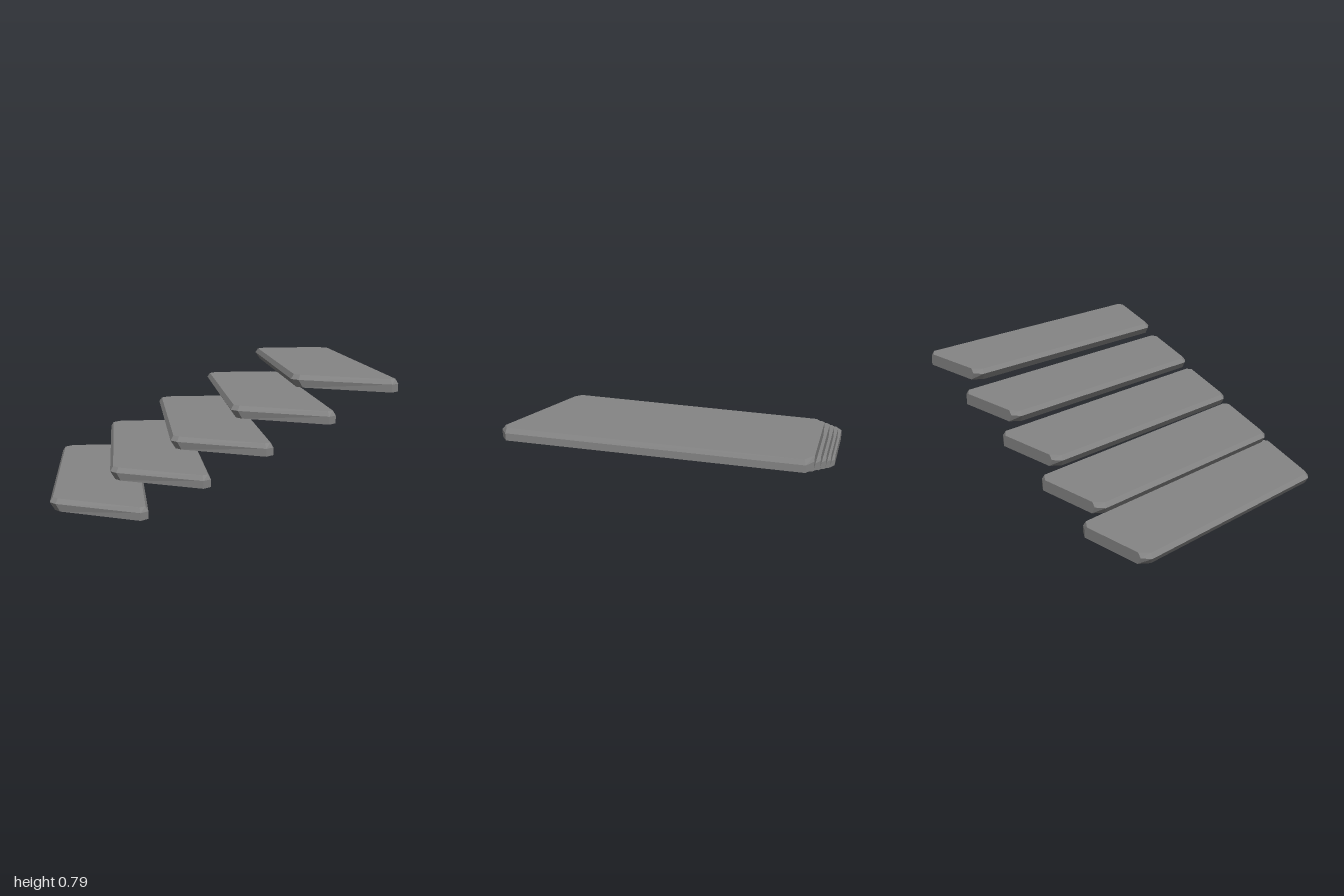
import * as THREE from 'three';

// Slab cross-sections from bottom to top; [x, z] corners run clockwise seen from above
const SECTIONS = [
  { y: 0, ring: [[-0.256, -0.83], [-0.21, -0.888], [0.21, -0.888], [0.264, -0.85], [0.286, 0.85], [0.24, 0.888], [-0.225, 0.65], [-0.256, 0.61]] },
  { y: 0.045, ring: [[-0.286, -0.85], [-0.236, -0.888], [0.21, -0.888], [0.264, -0.85], [0.286, 0.85], [0.24, 0.888], [-0.25, 0.645], [-0.286, 0.6]] },
  { y: 0.073, ring: [[-0.268, -0.84], [-0.215, -0.888], [0.19, -0.888], [0.25, -0.84], [0.27, 0.845], [0.235, 0.865], [-0.238, 0.625], [-0.268, 0.59]] },
];

// Flat-shaded solid lofted through the sections and capped at both ends
function loft(sections) {
  const rings = sections.map(({ y, ring }) => ring.map(([x, z]) => [x, y, z]));
  const count = rings[0].length;
  const top = rings[rings.length - 1];
  const bottom = rings[0];
  const positions = [];
  const tri = (a, b, c) => positions.push(...a, ...b, ...c);

  for (let r = 0; r < rings.length - 1; r++) {
    const low = rings[r], high = rings[r + 1];
    for (let i = 0; i < count; i++) {
      const j = (i + 1) % count;
      tri(low[j], low[i], high[i]);
      tri(low[j], high[i], high[j]);
    }
  }
  for (let i = 1; i < count - 1; i++) {
    tri(top[0], top[i + 1], top[i]);
    tri(bottom[0], bottom[i], bottom[i + 1]);
  }

  const geometry = new THREE.BufferGeometry();
  geometry.setAttribute('position', new THREE.Float32BufferAttribute(positions, 3));
  geometry.computeVertexNormals();
  return geometry;
}

export function createModel() {
  const model = new THREE.Group();
  model.name = 'steppedSlabs';
  const material = new THREE.MeshStandardMaterial({ color: 0x858585, flatShading: true });
  const geometry = loft(SECTIONS);

  // Five identical slabs climbing towards +x
  for (let i = 0; i < 5; i++) {
    const slab = new THREE.Mesh(geometry, material);
    slab.name = `stepSlab${i + 1}`;
    slab.position.set((i - 2) * 0.357, i * 0.178, 0);
    model.add(slab);
  }
  return model;
}
